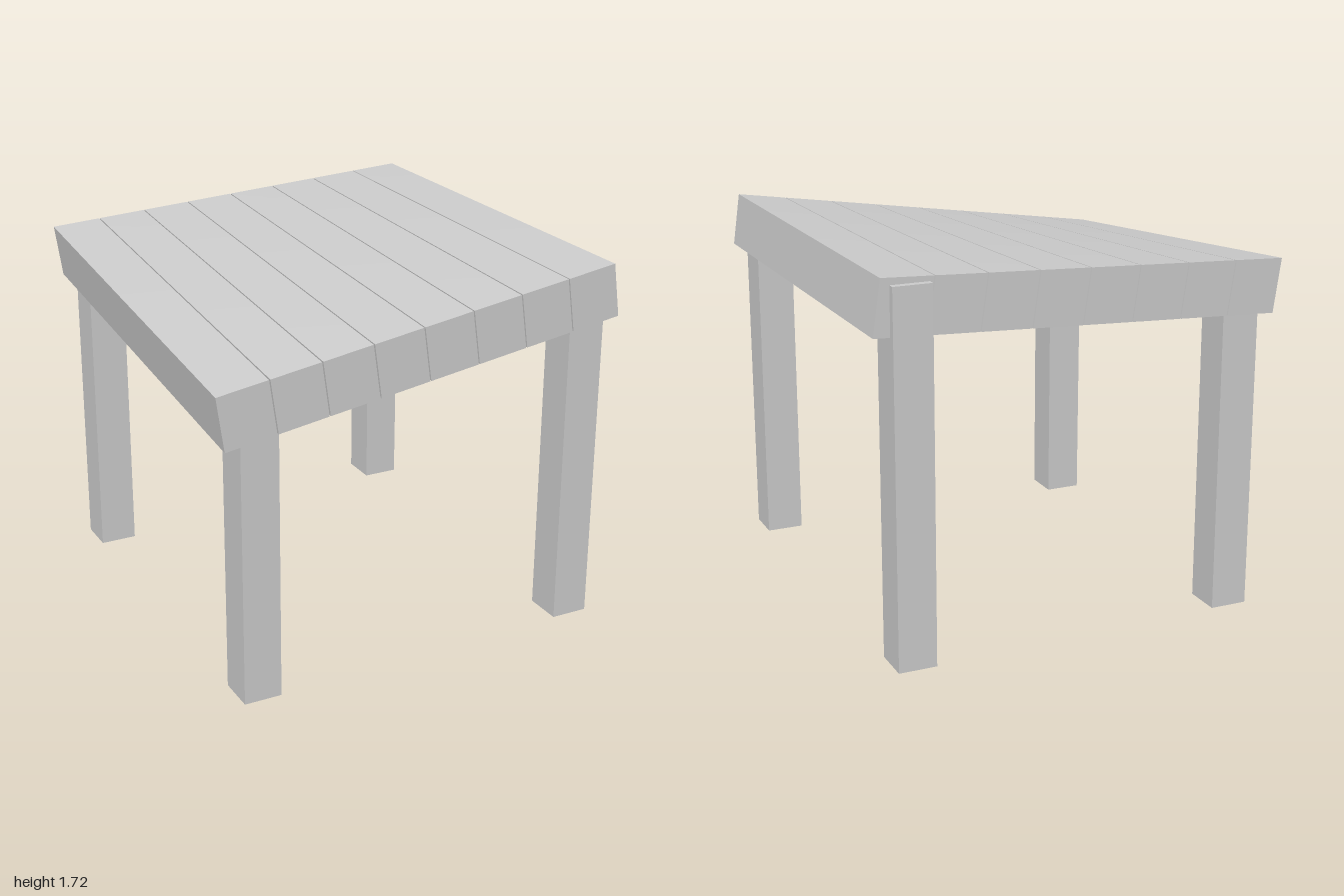
import * as THREE from 'three';

const material = new THREE.MeshStandardMaterial({ color: 0xcccccc });
const mix = THREE.MathUtils.lerp;

// Corners of the twisted top, as [x, y, z]; the underside is offset by DROP
const FRONT_LEFT = [-0.965, 1.435, 1], FRONT_RIGHT = [0.925, 1.715, 1];
const BACK_LEFT = [-0.945, 1.622, -0.95], BACK_RIGHT = [0.925, 1.715, -0.968];
const DROP = [0.035, -0.243, 0];

const PLANKS = 8;
const GAP = 0.003; // share of the top's width left open between planks

// u runs across the planks, v from top to underside, w from back to front
function topPoint(u, v, w) {
  return DROP.map((d, i) =>
    mix(mix(BACK_LEFT[i], BACK_RIGHT[i], u), mix(FRONT_LEFT[i], FRONT_RIGHT[i], u), w) + d * v);
}

function plankGeometry(u0, u1) {
  const geometry = new THREE.BoxGeometry(1, 1, 1, 2, 1, 10);
  const p = geometry.attributes.position;
  for (let i = 0; i < p.count; i++) {
    const u = mix(u0, u1, p.getX(i) + 0.5);
    p.setXYZ(i, ...topPoint(u, 0.5 - p.getY(i), p.getZ(i) + 0.5));
  }
  geometry.computeVertexNormals();
  return geometry;
}

export function createModel() {
  const table = new THREE.Group();
  table.name = 'table';

  // Table top: planks following the twist
  const top = new THREE.Group();
  top.name = 'tableTop';
  for (let i = 0; i < PLANKS; i++) {
    const u0 = i / PLANKS + (i > 0 ? GAP / 2 : 0);
    const u1 = (i + 1) / PLANKS - (i < PLANKS - 1 ? GAP / 2 : 0);
    const plank = new THREE.Mesh(plankGeometry(u0, u1), material);
    plank.name = `plank${i + 1}`;
    top.add(plank);
  }
  table.add(top);

  // Legs: name, centre x, centre z, bottom, top
  const legs = [
    ['frontRightLeg', -0.767, 0.892, 0, 1.3],
    ['backRightLeg', -0.767, -0.828, 0, 1.5],
    ['frontLeftLeg', 0.815, 0.882, 0.02, 1.52],
    ['backLeftLeg', 0.8, -0.91, 0.02, 1.682],
  ];
  for (const [name, x, z, bottom, height] of legs) {
    const leg = new THREE.Mesh(new THREE.BoxGeometry(0.173, height - bottom, 0.178), material);
    leg.name = name;
    leg.position.set(x, (bottom + height) / 2, z);
    table.add(leg);
  }
  return table;
}
